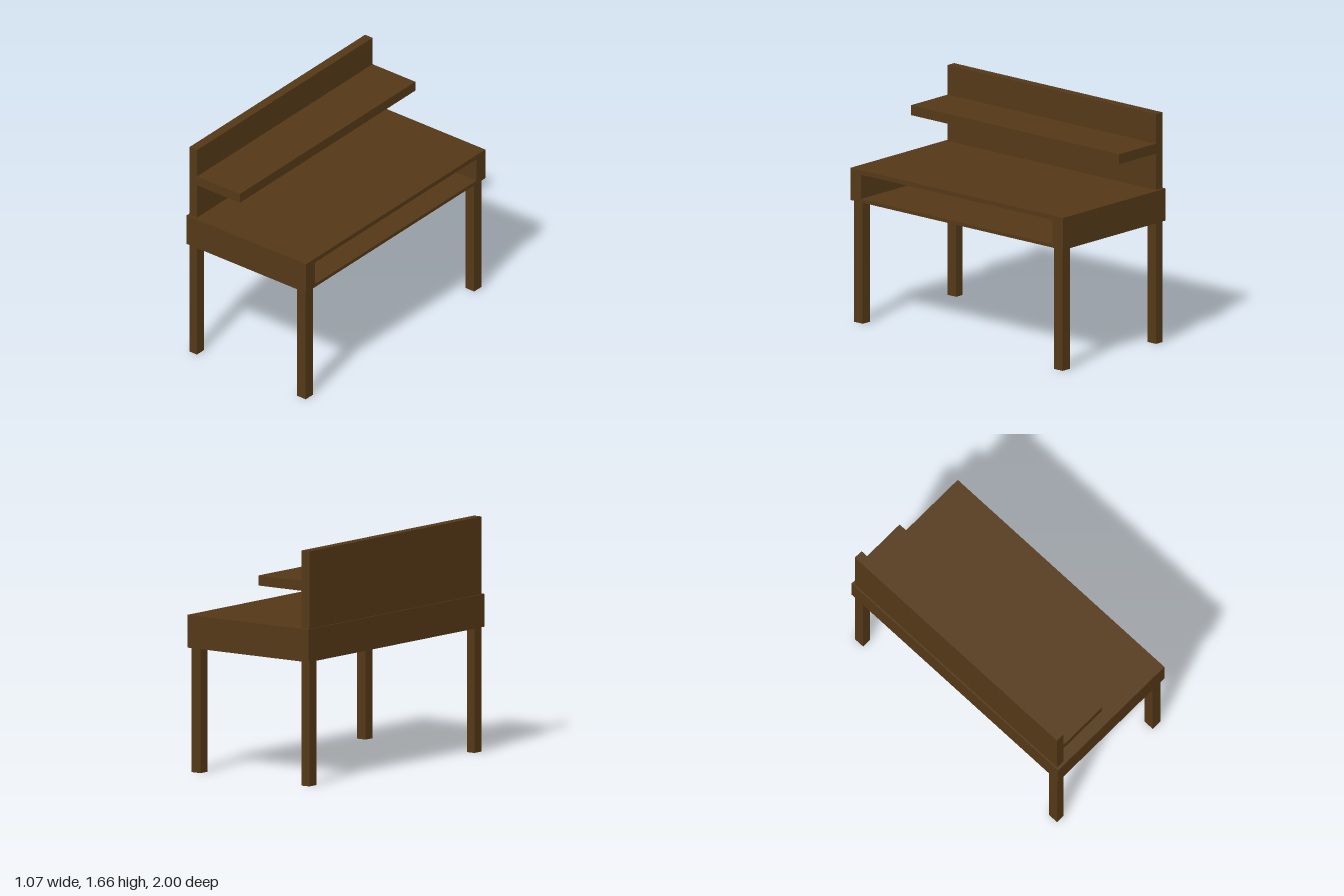
import * as THREE from 'three';

export function createModel() {
  const desk = new THREE.Group();
  desk.name = 'desk';
  const wood = new THREE.MeshStandardMaterial({ color: 0x543816 });

  // Box given by its lower and upper corners
  const addBox = (name, [x0, y0, z0], [x1, y1, z1]) => {
    const mesh = new THREE.Mesh(new THREE.BoxGeometry(x1 - x0, y1 - y0, z1 - z0), wood);
    mesh.position.set((x0 + x1) / 2, (y0 + y1) / 2, (z0 + z1) / 2);
    mesh.name = name;
    desk.add(mesh);
  };

  // Rectangle outline from its left, right, bottom and top
  const rectangle = (path, l, r, b, t) =>
    path.moveTo(l, b).lineTo(r, b).lineTo(r, t).lineTo(l, t).closePath();

  // Hollow desk body, open towards +x
  const halfDepth = 0.533, innerBack = -0.5;
  const outline = rectangle(new THREE.Shape(), -1, 1, 0.88, 1.112);
  outline.holes.push(rectangle(new THREE.Path(), -0.9, 0.9, 0.905, 1.08));
  const bodyGeometry = new THREE.ExtrudeGeometry(outline, {
    depth: halfDepth - innerBack, bevelEnabled: false,
  });
  bodyGeometry.rotateY(Math.PI / 2).translate(innerBack, 0, 0);
  const body = new THREE.Mesh(bodyGeometry, wood);
  body.name = 'deskBody';
  desk.add(body);
  addBox('bodyBackPanel', [-halfDepth, 0.88, -1], [innerBack, 1.112, 1]);

  // Four legs, the pair under the backboard slightly thinner
  for (const [end, z0, z1] of [['Left', 0.9, 0.98], ['Right', -0.978, -0.898]]) {
    addBox('backLeg' + end, [-0.524, 0, z0], [-0.457, 0.88, z1]);
    addBox('frontLeg' + end, [0.437, 0, z0], [0.515, 0.88, z1]);
  }

  // Upright backboard and its shelf
  addBox('backboard', [-0.524, 1.112, -0.978], [-0.457, 1.66, 0.98]);
  addBox('shelf', [-0.457, 1.375, -0.978], [-0.074, 1.446, 0.98]);

  return desk;
}
